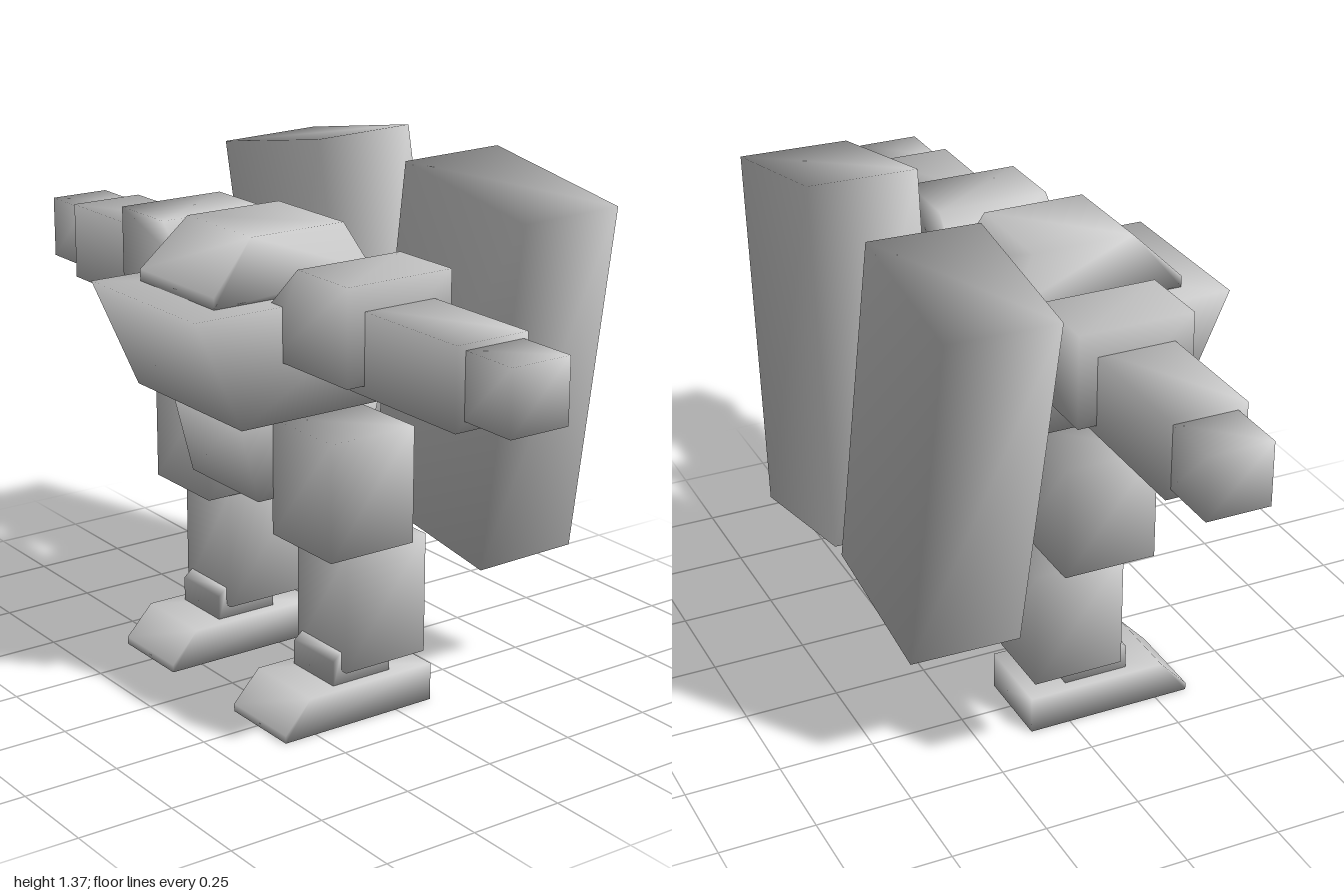
import * as THREE from 'three';
import { mergeVertices } from 'three/addons/utils/BufferGeometryUtils.js';

const material = new THREE.MeshStandardMaterial({ color: 0xcccccc });

// Weld the corners so the shading rolls softly over every block
function soften(geometry) {
  geometry.deleteAttribute('normal');
  geometry.deleteAttribute('uv');
  const welded = mergeVertices(geometry, 1e-4);
  welded.computeVertexNormals();
  return welded;
}

function part(name, geometry) {
  const mesh = new THREE.Mesh(soften(geometry), material);
  mesh.name = name;
  return mesh;
}

// Box from its limits on each axis
function block([x0, x1], [y0, y1], [z0, z1]) {
  return new THREE.BoxGeometry(x1 - x0, y1 - y0, z1 - z0)
    .translate((x0 + x1) / 2, (y0 + y1) / 2, (z0 + z1) / 2);
}

function extrude(points, depth) {
  const shape = new THREE.Shape(points.map(([a, b]) => new THREE.Vector2(a, b)));
  return new THREE.ExtrudeGeometry(shape, { depth, bevelEnabled: false }).translate(0, 0, -depth / 2);
}

// Side profile of [z, y] points, given a width along x
function sideProfile(points, width, x = 0) {
  return extrude(points, width).rotateY(-Math.PI / 2).translate(x, 0, 0);
}

// Slanted block spanned by three edge vectors around a centre
function slanted(u, v, w, centre) {
  const basis = new THREE.Matrix4().makeBasis(
    new THREE.Vector3(...u), new THREE.Vector3(...v), new THREE.Vector3(...w));
  return new THREE.BoxGeometry(1, 1, 1).applyMatrix4(basis).translate(...centre);
}

export function createModel() {
  const model = new THREE.Group();
  model.name = 'robot';

  // Torso
  model.add(part('chest', sideProfile([[0.37, 0.78], [0.5, 1.07], [-0.155, 1.07], [-0.155, 0.78]], 0.475)));
  model.add(part('pelvis', sideProfile([[0.265, 0.55], [0.325, 0.78], [-0.11, 0.78], [-0.06, 0.55]], 0.3)));

  // Head, narrowed towards the crown
  const head = sideProfile(
    [[0.4, 1.07], [0.4, 1.1], [0.275, 1.225], [0, 1.225], [-0.07, 1.1], [-0.08, 1.07]], 0.335);
  const p = head.attributes.position;
  for (let i = 0; i < p.count; i++) if (p.getY(i) > 1.2) p.setX(i, p.getX(i) * 0.84);
  model.add(part('head', head));

  for (const s of [1, -1]) {
    const side = s > 0 ? 'left' : 'right';
    const span = (a, b) => (s > 0 ? [a, b] : [-b, -a]);

    // Arm, held straight out
    const arm = new THREE.Group();
    arm.name = side + 'Arm';
    const shoulder = [[0.19, 0.93], [0.5, 0.93], [0.5, 1.175], [0.3, 1.175], [0.19, 1.07]];
    arm.add(
      part('shoulder', extrude(shoulder.map(([x, y]) => [s * x, y]), 0.305).translate(0, 0, 0.0975)),
      part('forearm', block(span(0.445, 0.84), [0.905, 1.11], [-0.005, 0.2])),
      part('hand', block(span(0.835, 1), [0.93, 1.095], [0.008, 0.175])));

    // Leg
    const leg = new THREE.Group();
    leg.name = side + 'Leg';
    leg.add(
      part('thigh', block(span(0.147, 0.397), [0.455, 0.76], [-0.03, 0.22])),
      part('shin', block(span(0.157, 0.365), [0.135, 0.455], [-0.095, 0.15])),
      part('ankle', sideProfile(
        [[0.175, 0.09], [0.175, 0.165], [0.15, 0.185], [0, 0.185], [0, 0.09]], 0.17, s * 0.26)),
      part('foot', sideProfile(
        [[0.34, 0], [0.34, 0.02], [0.265, 0.1], [-0.11, 0.1], [-0.11, 0]], 0.23, s * 0.26)));
    model.add(arm, leg);
  }

  // Back packs, each leaning a little differently
  model.add(
    part('leftBackPack', slanted([0.437, -0.078, -0.018], [0.158, 0.927, 0.022], [0, -0.005, 0.293],
      [0.309, 0.861, -0.334])),
    part('rightBackPack', slanted([0.428, 0.075, -0.006], [-0.164, 0.928, 0.027], [0, -0.006, 0.293],
      [-0.322, 0.858, -0.317])));

  return model;
}
